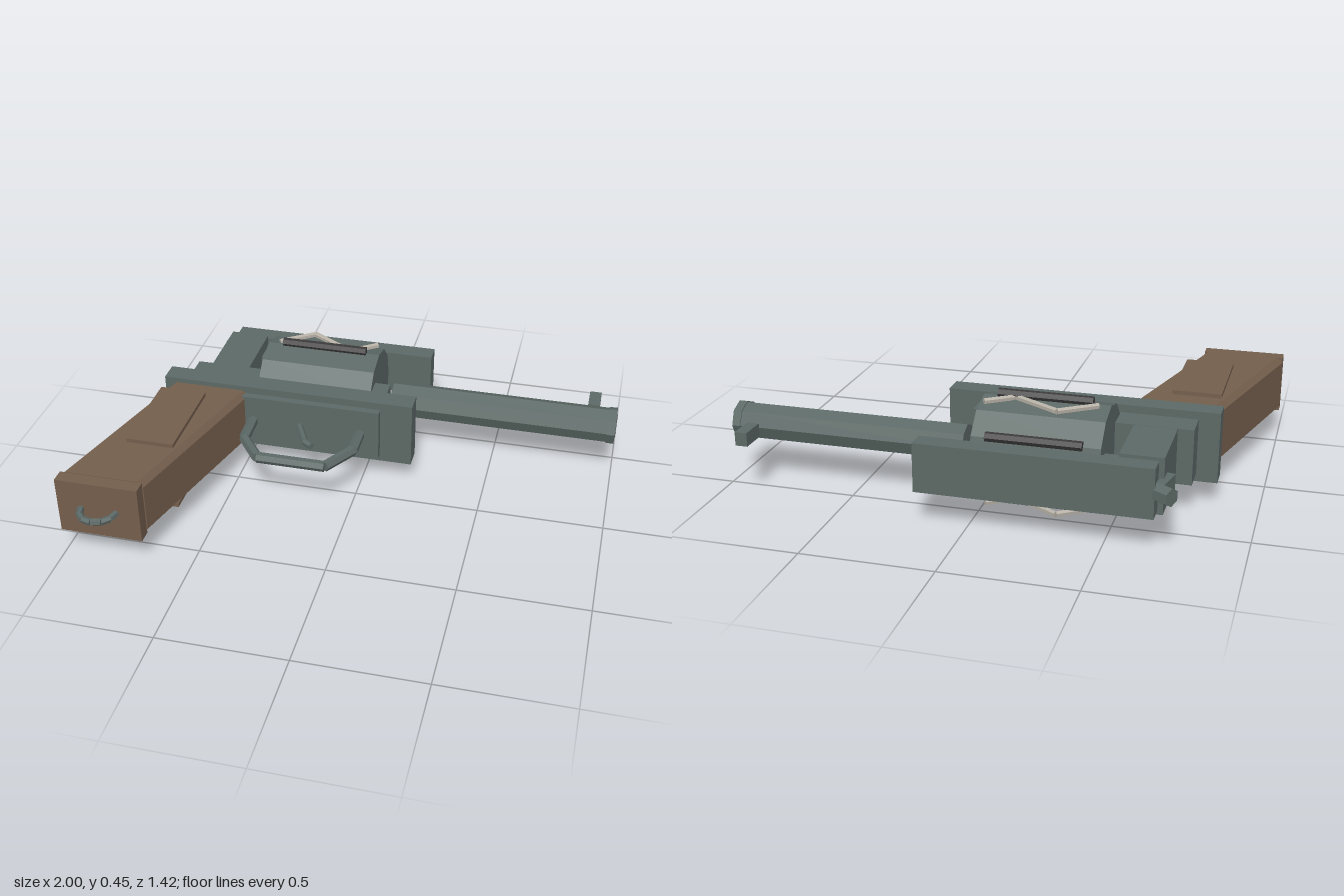
import * as THREE from 'three';

export function createModel() {
  const model = new THREE.Group();
  model.name = 'revolver';
  const CY = 0.228; // height of the plane of symmetry
  const CZ = -0.4;  // barrel and cylinder axis

  const makeMat = (name, color) => {
    const m = new THREE.MeshStandardMaterial({ color, flatShading: true });
    m.name = name;
    return m;
  };
  const steel = makeMat('gunmetal', 0x5c6966);
  const wood = makeMat('brown grip', 0x745e4c);
  const dark = makeMat('dark steel', 0x3c3a3a);
  const silver = makeMat('pale engraving', 0xb5afa4);

  const add = (name, geometry, material, parent = model) => {
    const mesh = new THREE.Mesh(geometry, material);
    mesh.name = name;
    parent.add(mesh);
    return mesh;
  };

  // Box given by its extents
  const block = (name, x0, x1, y0, y1, z0, z1, material = steel) => {
    const mesh = add(name, new THREE.BoxGeometry(x1 - x0, y1 - y0, z1 - z0), material);
    mesh.position.set((x0 + x1) / 2, (y0 + y1) / 2, (z0 + z1) / 2);
    return mesh;
  };

  // Straight faceted rod between two points
  const rod = (name, a, b, radius, sides, material = steel, parent = model) => {
    const p = new THREE.Vector3(...a), q = new THREE.Vector3(...b);
    const mesh = add(name, new THREE.CylinderGeometry(radius, radius, p.distanceTo(q), sides), material, parent);
    mesh.position.copy(p).add(q).multiplyScalar(0.5);
    mesh.quaternion.setFromUnitVectors(new THREE.Vector3(0, 1, 0), q.sub(p).normalize());
    return mesh;
  };

  // Chain of rods through [x, z] points at one height
  const chain = (name, points, y, radius, sides, material = steel) => {
    const group = new THREE.Group();
    group.name = name;
    model.add(group);
    for (let i = 1; i < points.length; i++) {
      const [a, b] = [points[i - 1], points[i]];
      rod(name + 'Segment', [a[0], y, a[1]], [b[0], y, b[1]], radius, sides, material, group);
    }
  };

  // Frame
  block('lowerFrame', -0.84, 0.2, 0.09, 0.366, -0.215, -0.13);
  block('innerFrame', -0.76, 0.07, 0.12, 0.336, -0.328, -0.1);
  block('rearFrame', -0.7, -0.54, 0.121, 0.335, -0.608, -0.2);
  block('topStrap', -0.68, 0.19, 0.134, 0.322, -0.682, -0.606);
  block('recoilBlock', -0.55, -0.46, 0.17, 0.286, -0.588, -0.505);

  // Barrel, muzzle ring, bore and sight
  rod('barrel', [0.07, CY, CZ], [0.97, CY, CZ], 0.072, 8);
  rod('muzzleRing', [0.965, CY, CZ], [0.998, CY, CZ], 0.076, 8);
  rod('bore', [0.99, CY, CZ], [1, CY, CZ], 0.047, 8, dark);
  block('frontSight', 0.875, 0.923, CY - 0.027, CY + 0.027, -0.6, -0.495);

  // Cylinder with six dark flutes
  rod('cylinder', [-0.47, CY, CZ], [0.005, CY, CZ], 0.2, 12);
  for (let i = 0; i < 6; i++) {
    const a = Math.PI / 2 + i * Math.PI / 3;
    const y = CY + 0.21 * Math.sin(a), z = CZ + 0.203 * Math.cos(a);
    rod('flute', [-0.405, y, z], [-0.05, y, z], 0.018, 6, dark);
  }

  // Zigzag engraving on both sides
  for (const s of [-1, 1]) {
    const y = CY + s * 0.2;
    chain('engraving', [[-0.425, -0.415], [-0.295, -0.508], [-0.125, -0.408]], y, 0.012, 6, silver);
    chain('engravingTip', [[-0.115, -0.408], [-0.018, -0.478]], y, 0.012, 6, silver);
  }

  // Hammer
  rod('hammerSpur', [-0.74, CY, -0.69], [-0.66, CY, -0.64], 0.034, 6);
  block('hammer', -0.72, -0.685, CY - 0.03, CY + 0.03, -0.66, -0.55).rotation.y = -0.2;

  // Trigger and guard
  chain('triggerGuard', [[-0.008, -0.11], [-0.008, 0.02], [-0.09, 0.153],
    [-0.365, 0.153], [-0.453, 0.035], [-0.458, -0.11]], CY, 0.022, 6);
  chain('trigger', [[-0.265, -0.11], [-0.21, 0.005], [-0.175, 0.03]], CY, 0.015, 6);

  // Slanted grip: a chamfered box section sheared along x
  const w = 0.165, h = 0.118, c = 0.022;
  const section = new THREE.Shape([[-w, -h + c], [-w + c, -h], [w - c, -h], [w, -h + c],
    [w, h - c], [w - c, h], [-w + c, h], [-w, h - c]].map(p => new THREE.Vector2(...p)));
  const gripGeometry = new THREE.ExtrudeGeometry(section, { depth: 0.71, bevelEnabled: false });
  gripGeometry.applyMatrix4(new THREE.Matrix4().set(
    1, 0, -0.27, 0, 0, 1, 0, 0, 0, 0, 1, 0, 0, 0, 0, 1));
  gripGeometry.computeVertexNormals();
  add('grip', gripGeometry, wood).position.set(-0.645, CY, -0.14);
  block('buttCap', -1, -0.676, 0.112, 0.343, 0.568, 0.623, wood);

  // Grip panels
  block('upperGripPanel', -0.82, -0.632, 0.36, 0.376, -0.035, 0.35, wood);
  block('lowerGripPanel', -0.82, -0.632, 0.08, 0.096, -0.035, 0.35, wood);

  // Lanyard ring under the butt
  const ring = [];
  for (let i = 0; i <= 6; i++) {
    const a = i * Math.PI / 6;
    ring.push([-0.838 + 0.07 * Math.cos(a), 0.623 + 0.072 * Math.sin(a)]);
  }
  chain('lanyardRing', ring, CY, 0.014, 6);

  return model;
}
